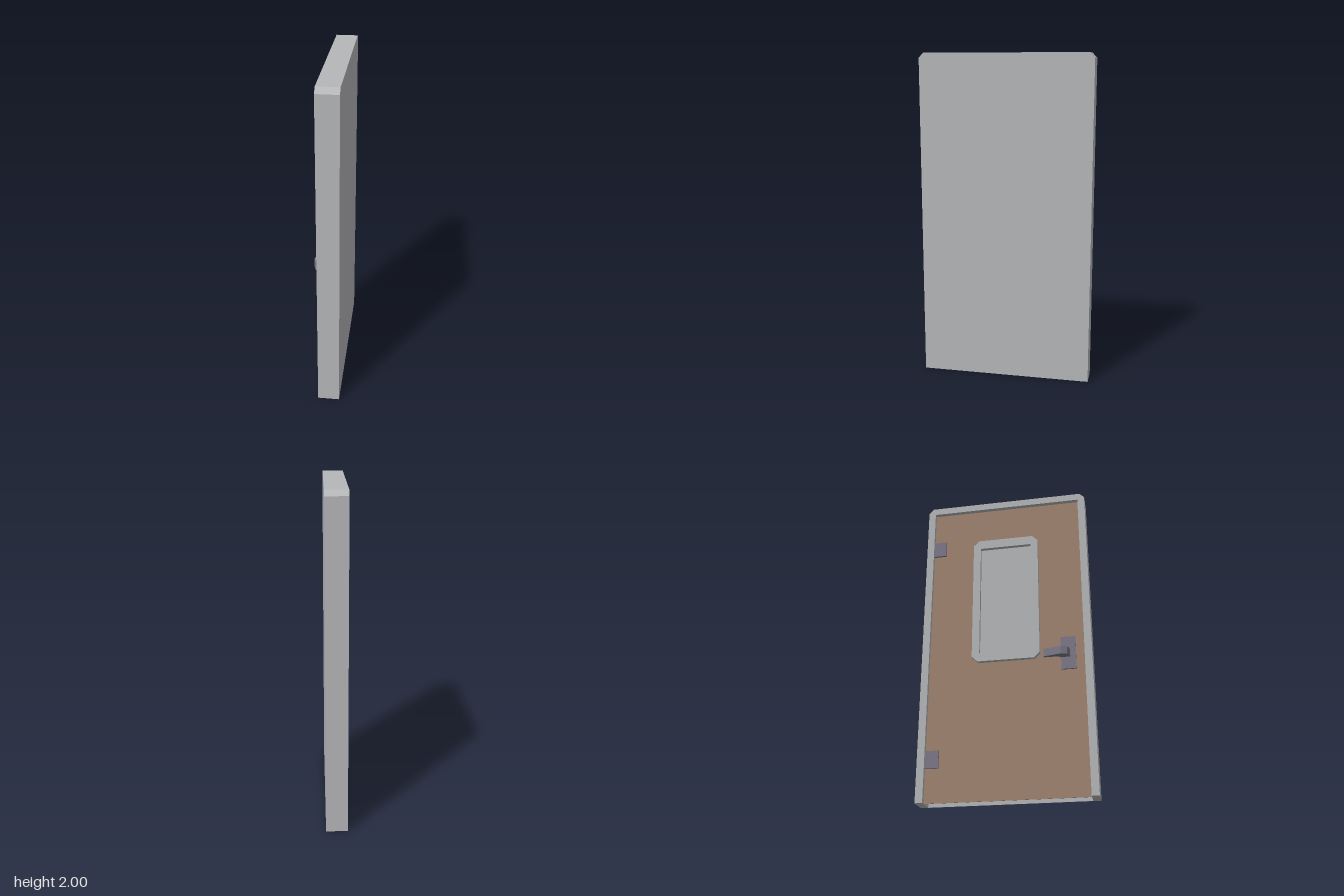
import * as THREE from 'three';

const mat = (name, color) => {
  const m = new THREE.MeshStandardMaterial({ color });
  m.name = name;
  return m;
};

// Rectangle in (z, y) with optional cut corners at the top and bottom
function outline(w, y0, y1, cutTop = 0, cutBottom = 0) {
  const pts = [
    [-w + cutBottom, y0], [w - cutBottom, y0], [w, y0 + cutBottom], [w, y1 - cutTop],
    [w - cutTop, y1], [-w + cutTop, y1], [-w, y1 - cutTop], [-w, y0 + cutBottom],
  ];
  const unique = pts.filter((p, i) => {
    const q = pts[(i + 1) % pts.length];
    return p[0] !== q[0] || p[1] !== q[1];
  });
  return unique.map(([z, y]) => new THREE.Vector2(z, y));
}

// Extrude a (z, y) shape from xBack towards -x, the face of the door
function slab(shape, xBack, xFace) {
  const g = new THREE.ExtrudeGeometry(shape, { depth: xBack - xFace, bevelEnabled: false });
  g.rotateY(-Math.PI / 2);
  g.translate(xBack, 0, 0);
  return g;
}

export function createModel() {
  const grey = mat('frame grey', 0xb6b7b9);
  const brown = mat('door brown', 0xa28571);
  const metal = mat('handle metal', 0x7d7988);

  const group = new THREE.Group();
  group.name = 'door';
  const add = (name, geometry, material) => {
    const mesh = new THREE.Mesh(geometry, material);
    mesh.name = name;
    group.add(mesh);
    return mesh;
  };

  const W = 0.525, IN = 0.48, BACK = 0.083, FACE = -0.047, PANEL = -0.02;

  // Door frame: two posts and a lintel, open at the floor
  const frame = new THREE.Shape([
    [-W, 0], [-IN, 0], [-IN, 1.955], [IN, 1.955], [IN, 0], [W, 0],
    [W, 1.97], [W - 0.03, 2], [-W + 0.03, 2], [-W, 1.97],
  ].map(([z, y]) => new THREE.Vector2(z, y)));
  add('frame', slab(frame, BACK - 0.003, FACE), grey);

  // Thin sheet closing the rear of the frame
  add('backPanel', slab(new THREE.Shape(outline(W, 0, 2, 0.03)), BACK, BACK - 0.003), grey);

  // Recessed door leaf
  add('doorLeaf', slab(new THREE.Shape(outline(IN, 0, 1.955)), PANEL + 0.004, PANEL), brown);

  // Window surround with cut outer corners, and its pane
  const surround = new THREE.Shape(outline(0.21, 0.85, 1.71, 0.035, 0.035));
  surround.holes.push(new THREE.Path(outline(0.163, 0.905, 1.65).reverse()));
  add('windowSurround', slab(surround, PANEL, -0.046), grey);
  add('windowPane', slab(new THREE.Shape(outline(0.163, 0.905, 1.65)), PANEL, PANEL - 0.002), grey);

  // Hinges
  for (const y of [0.255, 1.685]) {
    add('hinge', new THREE.BoxGeometry(0.012, 0.105, 0.08), metal).position.set(PANEL - 0.006, y, -0.44);
  }

  // Handle plate and angular lever
  add('handlePlate', new THREE.BoxGeometry(0.01, 0.21, 0.09), metal).position.set(PANEL - 0.005, 0.873, 0.382);
  const lever = new THREE.Shape([
    [-0.045, 0.235], [-0.06, 0.235], [-0.085, 0.34], [-0.072, 0.378],
    [-0.047, 0.387], [PANEL, 0.395], [PANEL, 0.335], [-0.045, 0.325],
  ].map(([x, z]) => new THREE.Vector2(x, -z)));
  const leverGeo = new THREE.ExtrudeGeometry(lever, { depth: 0.05, bevelEnabled: false });
  leverGeo.rotateX(-Math.PI / 2);
  add('handleLever', leverGeo, metal).position.y = 0.845;

  return group;
}
